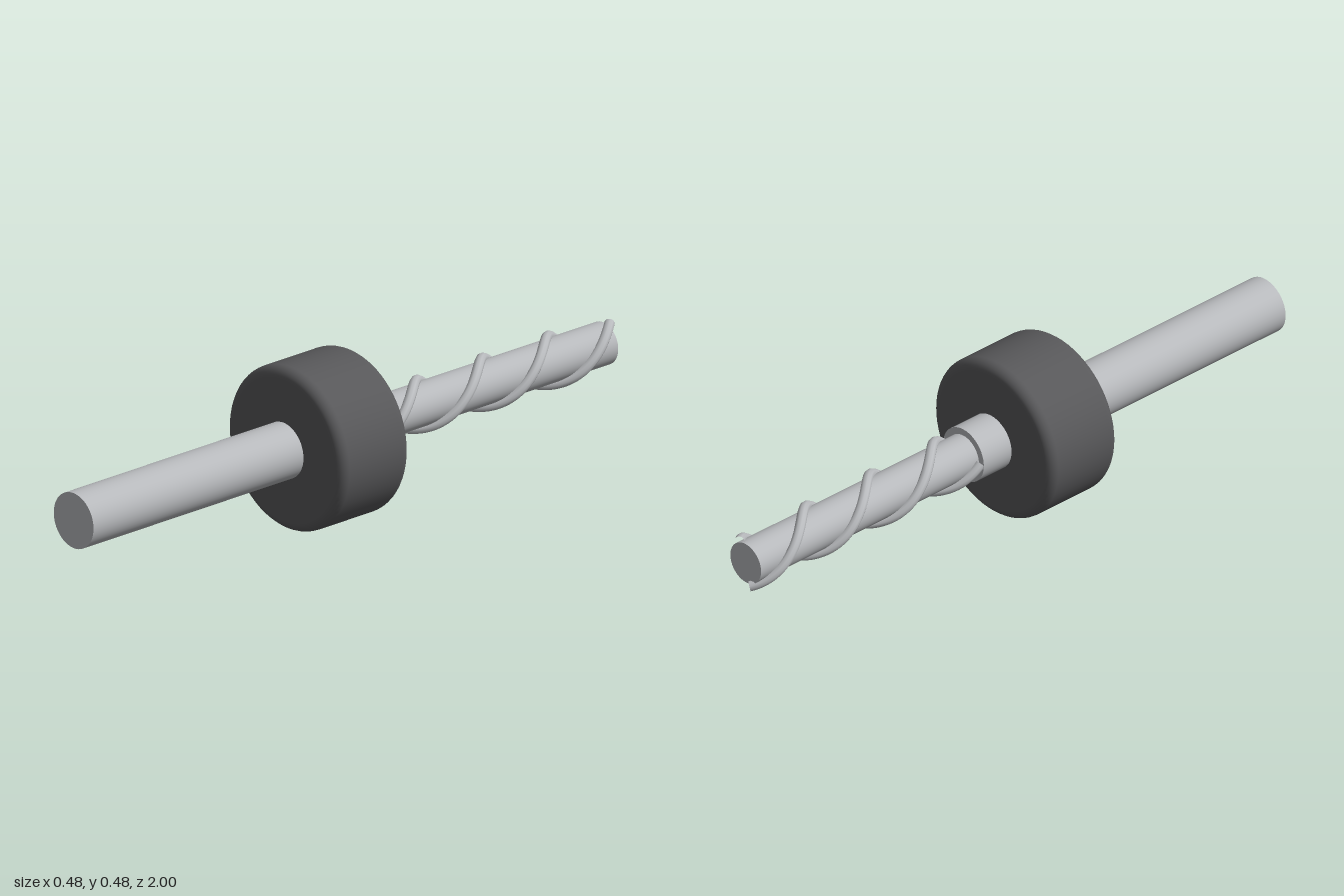
import * as THREE from 'three';

const AXIS_Y = 0.24;

export function createModel() {
  const steel = new THREE.MeshStandardMaterial({ color: 0xb8babd });
  steel.name = 'steel';
  const darkCollar = new THREE.MeshStandardMaterial({ color: 0x58585a });
  darkCollar.name = 'darkGrey';

  const model = new THREE.Group();
  model.name = 'drillBit';
  const add = (name, geometry, material) => {
    const mesh = new THREE.Mesh(geometry, material);
    mesh.name = name;
    mesh.position.y = AXIS_Y;
    model.add(mesh);
  };

  // Solid round rod lying along z
  const rod = (radius, z0, z1) =>
    new THREE.CylinderGeometry(radius, radius, z1 - z0, 48)
      .rotateX(Math.PI / 2)
      .translate(0, 0, (z0 + z1) / 2);

  add('shank', rod(0.082, -0.153, 1), steel);
  add('fluteCore', rod(0.062, -0.985, -0.153), steel);

  // Depth collar with rounded rims, turned about z
  const back = -0.047, front = 0.213, R = 0.24, r = 0.03;
  const profile = [new THREE.Vector2(0.07, back)];
  const fillet = (z, start) => {
    for (let i = 0; i <= 6; i++) {
      const a = start + (i / 6) * (Math.PI / 2);
      profile.push(new THREE.Vector2(R - r + r * Math.cos(a), z + r * Math.sin(a)));
    }
  };
  fillet(back + r, -Math.PI / 2);
  fillet(front - r, 0);
  profile.push(new THREE.Vector2(0.07, front));
  add('depthCollar', new THREE.LatheGeometry(profile, 64).rotateX(Math.PI / 2), darkCollar);

  // Two opposite spiral ridges around the core
  class Helix extends THREE.Curve {
    constructor(phase) {
      super();
      this.phase = phase;
    }
    getPoint(t, target = new THREE.Vector3()) {
      const a = this.phase + t * 1.7 * Math.PI * 2;
      return target.set(0.067 * Math.cos(a), 0.067 * Math.sin(a), -0.153 - t * 0.837);
    }
  }
  [0, Math.PI].forEach((phase, i) => {
    add(`spiralRidge${i + 1}`, new THREE.TubeGeometry(new Helix(phase), 120, 0.015, 10), steel);
  });

  return model;
}
